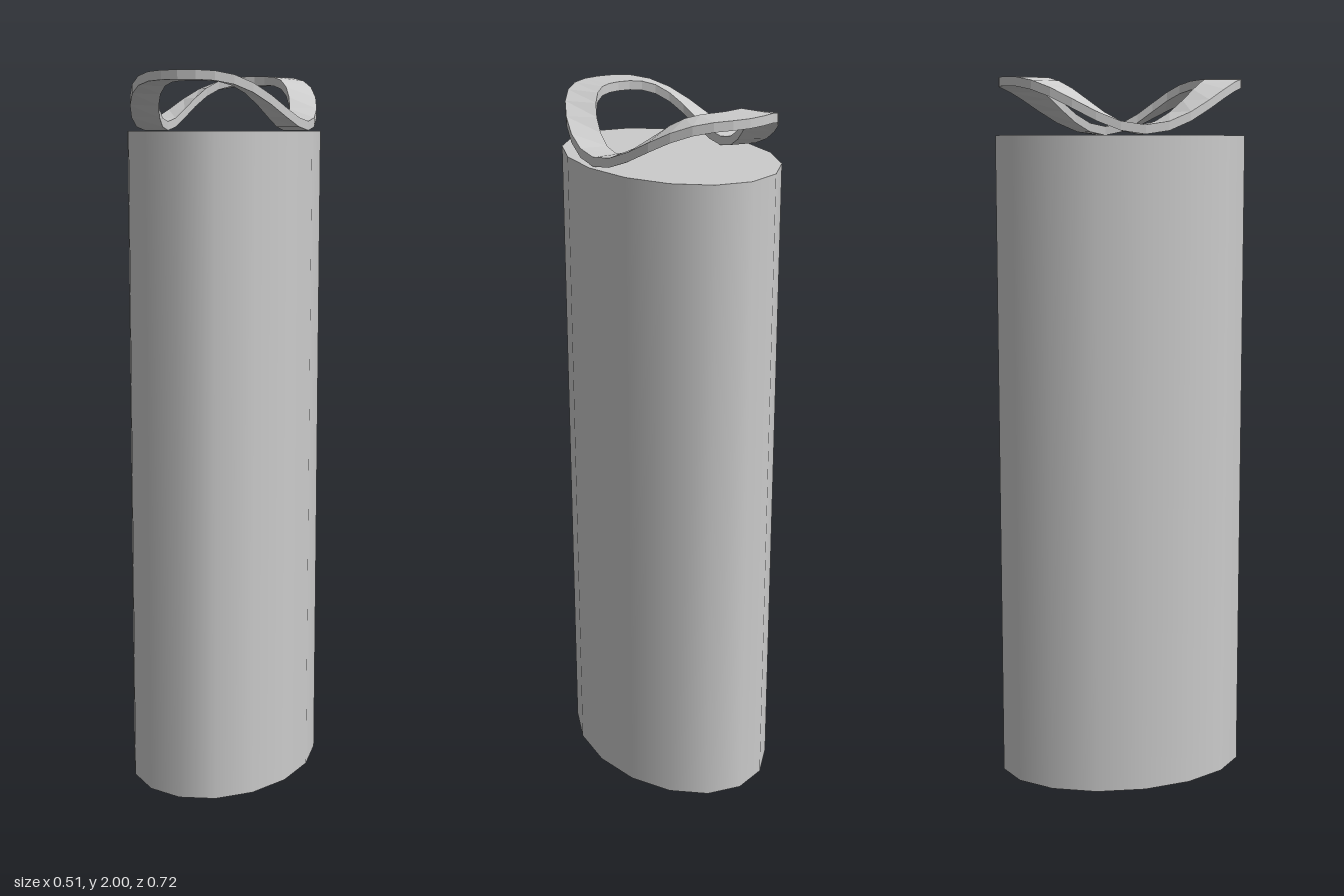
import * as THREE from 'three';

const material = new THREE.MeshStandardMaterial({ color: 0xcccccc });
const flatMaterial = new THREE.MeshStandardMaterial({ color: 0xcccccc, flatShading: true });

// Saddle-shaped oval band: a rectangular section swept round an ellipse
function saddleRing(segments) {
  const inner = [0.173, 0.242], outer = [0.246, 0.346];
  const top = 2, drop = 0.13, thickness = 0.025;
  const positions = [], index = [];
  for (let i = 0; i < segments; i++) {
    const t = (i / segments) * Math.PI * 2;
    const s = Math.sin(t), c = Math.cos(t);
    const y = top - drop * s ** 4; // high at front and back, low at the sides
    const section = [[inner, y - thickness], [outer, y - thickness], [outer, y], [inner, y]];
    for (const [[rx, rz], h] of section) positions.push(rx * s, h, rz * c);
    for (let k = 0; k < 4; k++) {
      const j = (i + 1) % segments, n = (k + 1) % 4;
      const a = i * 4 + k, b = i * 4 + n, d = j * 4 + k, e = j * 4 + n;
      index.push(a, d, e, a, e, b);
    }
  }
  const geometry = new THREE.BufferGeometry();
  geometry.setAttribute('position', new THREE.Float32BufferAttribute(positions, 3));
  geometry.setIndex(index);
  geometry.computeVertexNormals();
  return geometry;
}

export function createModel() {
  const group = new THREE.Group();

  // Tall elliptical column with flat ends
  const height = 1.843;
  const columnGeometry = new THREE.CylinderGeometry(1, 1, height, 16);
  columnGeometry.scale(0.257, 1, 0.36);
  columnGeometry.translate(0, height / 2, 0);
  const column = new THREE.Mesh(columnGeometry, material);
  column.name = 'column';

  // Wavy rim resting on the column at its sides
  const rim = new THREE.Mesh(saddleRing(32), flatMaterial);
  rim.name = 'wavyRim';

  group.add(column, rim);
  return group;
}
